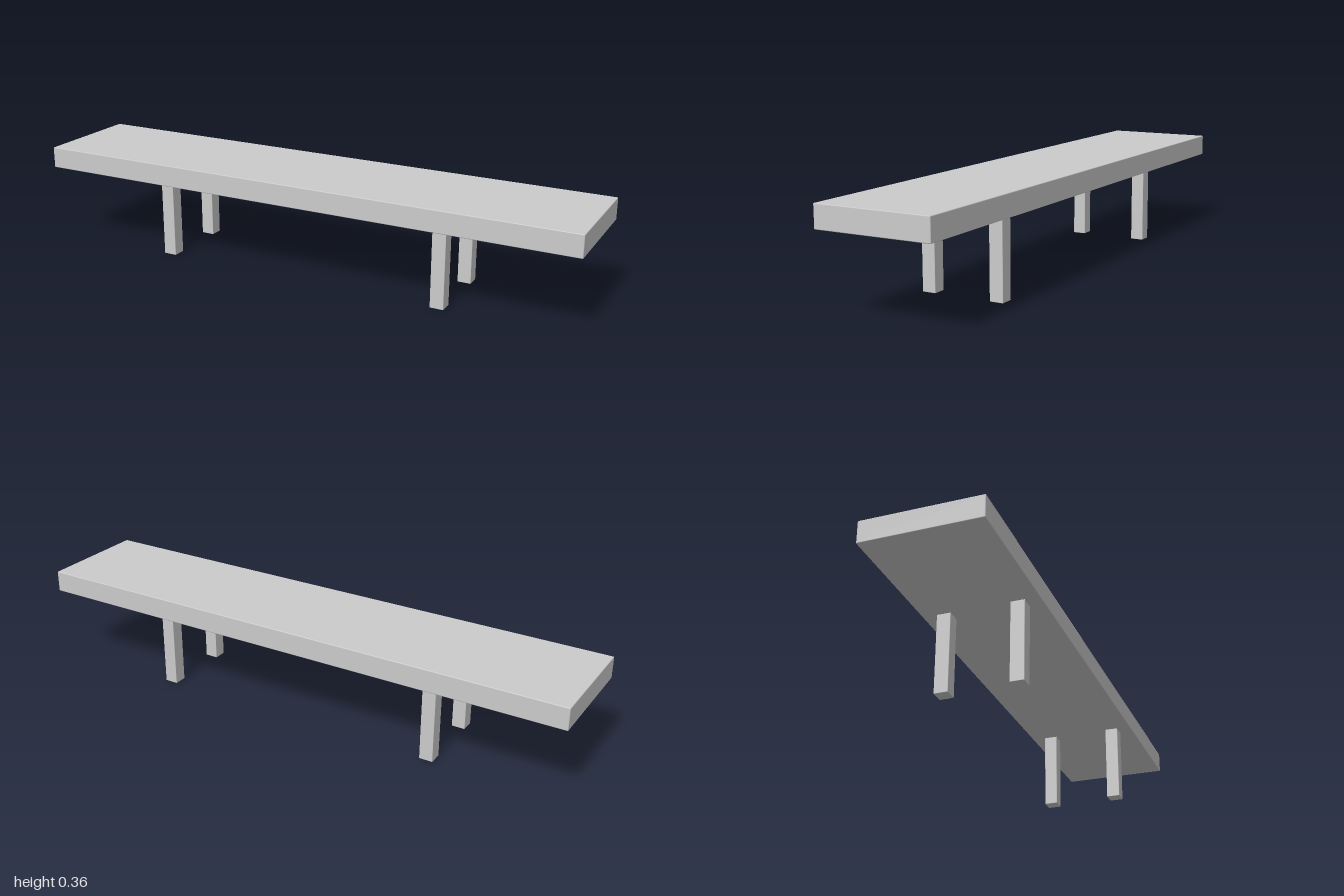
import * as THREE from 'three';
import { RoundedBoxGeometry } from 'three/addons/geometries/RoundedBoxGeometry.js';

export function createModel() {
  const bench = new THREE.Group();
  bench.name = 'bench';
  const material = new THREE.MeshStandardMaterial({ color: 0xcccccc });

  // Box with slightly eased edges, placed by its bottom centre
  function addBlock(name, width, height, depth, x, y, z, bevel) {
    const mesh = new THREE.Mesh(new RoundedBoxGeometry(width, height, depth, 1, bevel), material);
    mesh.name = name;
    mesh.position.set(x, y + height / 2, z);
    bench.add(mesh);
  }

  // Long plank seat
  const legHeight = 0.279;
  addBlock('seat', 2, 0.077, 0.398, 0, legHeight, 0, 0.003);

  // Four square legs, meeting the underside of the seat
  for (const [side, sx] of [['Left', 1], ['Right', -1]]) {
    for (const [end, sz] of [['front', 1], ['back', -1]]) {
      addBlock(`${end}${side}Leg`, 0.048, legHeight, 0.048, sx * 0.525, 0, sz * 0.125, 0.0015);
    }
  }

  return bench;
}
